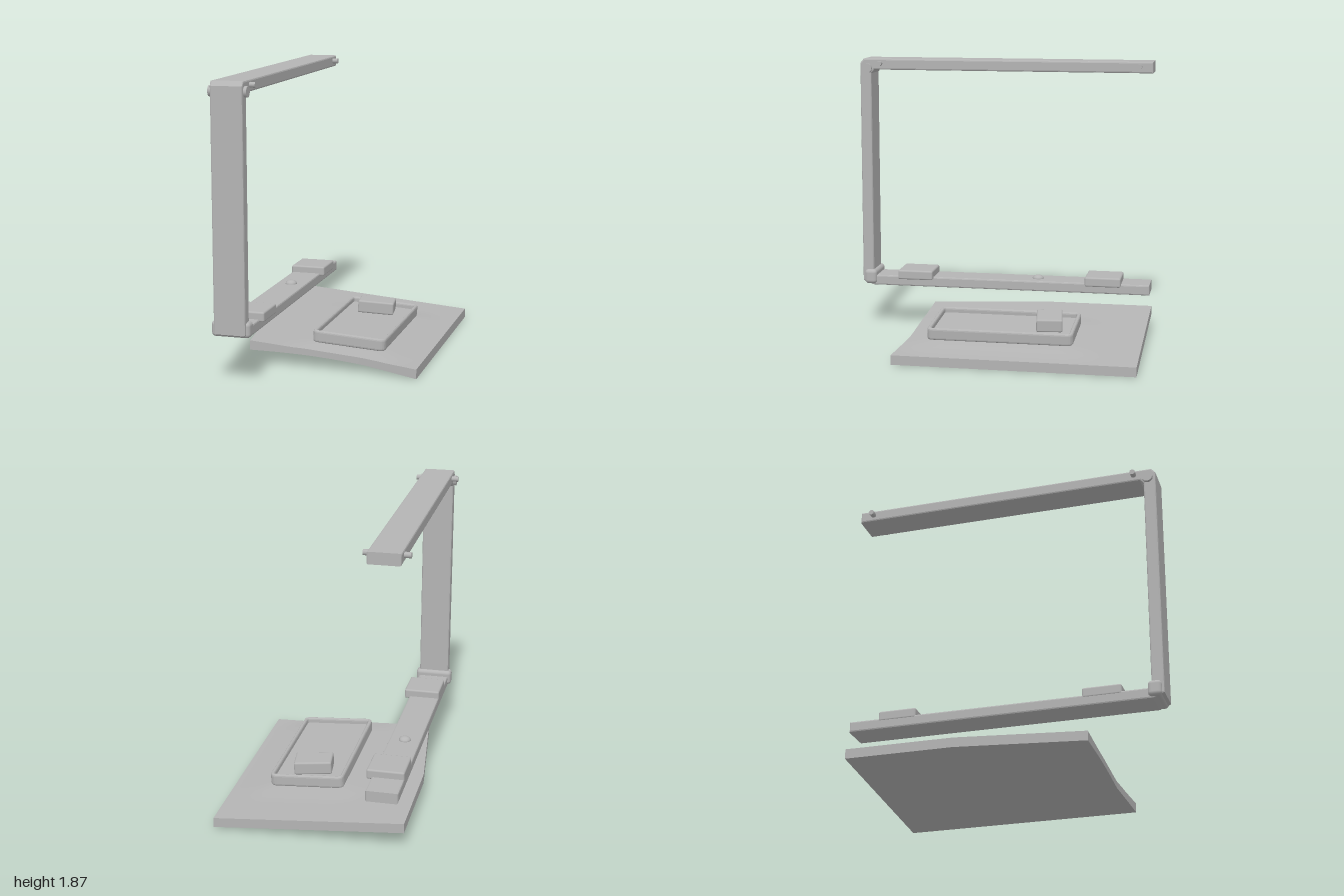
import * as THREE from 'three';
import { RoundedBoxGeometry } from 'three/addons/geometries/RoundedBoxGeometry.js';

const grey = new THREE.MeshStandardMaterial({ color: 0xb4b4b4 });
grey.name = 'plain grey';
const BAR_X = -0.463;

function add(parent, name, geometry, x = 0, y = 0, z = 0) {
  const mesh = new THREE.Mesh(geometry, grey);
  mesh.name = name;
  mesh.position.set(x, y, z);
  parent.add(mesh);
  return mesh;
}

// Rounded rectangle outline centred on the origin
function roundedRect(target, w, h, r) {
  const a = w / 2, b = h / 2;
  target.moveTo(-a + r, -b);
  target.lineTo(a - r, -b);
  target.quadraticCurveTo(a, -b, a, -b + r);
  target.lineTo(a, b - r);
  target.quadraticCurveTo(a, b, a - r, b);
  target.lineTo(-a + r, b);
  target.quadraticCurveTo(-a, b, -a, b - r);
  target.lineTo(-a, -b + r);
  target.quadraticCurveTo(-a, -b, -a + r, -b);
  return target;
}

// C-shaped strap: side profile (z, y) extruded across x
function strapGeometry() {
  const b = 0.01;
  const profile = [
    [-1, 0.29], [0.93, 0.29], [1, 0.32], [1, 1.84], [0.975, 1.87], [-1, 1.87],
    [-1, 1.795], [0.9, 1.795], [0.922, 1.77], [0.922, 0.38], [0.9, 0.36], [-1, 0.36],
  ].map(([z, y]) => new THREE.Vector2(z, y));
  const geometry = new THREE.ExtrudeGeometry(new THREE.Shape(profile), {
    depth: 0.205 - 2 * b, bevelEnabled: true, bevelThickness: b,
    bevelSize: b, bevelOffset: -b, bevelSegments: 2,
  });
  geometry.rotateY(-Math.PI / 2);
  geometry.translate(BAR_X + 0.1025 - b, 0, 0);
  return geometry;
}

// Sloping plate with an uneven front edge and a soft swelling under the tray
function plateGeometry() {
  const geometry = new THREE.BoxGeometry(1, 1, 1, 24, 1, 24);
  const p = geometry.attributes.position;
  for (let i = 0; i < p.count; i++) {
    const u = p.getX(i), v = p.getZ(i) + 0.5, top = p.getY(i) > 0;
    const front = 0.515 + 0.045 * Math.max(0, (u - 0.2) / 0.3);
    const z = -1 + v * (front + 1);
    const pinch = 0.1 * Math.max(0, (z + 0.3) / 0.8) * Math.max(0, -2 * u);
    const x = 1.21 * u + pinch;
    let y = 0.05 - (x / 0.605) * 0.05;
    if (top) {
      y += 0.062;
      const dx = Math.max(0, Math.abs(x - 0.115) - 0.22) / 0.2;
      const dz = Math.max(0, Math.abs(z + 0.09) - 0.44) / 0.2;
      y += 0.02 * Math.max(0, 1 - Math.hypot(dx, dz));
    } else {
      y += 0.025 * Math.sin(Math.PI * (u + 0.5)) * v;
    }
    p.setXYZ(i, x, y, z);
  }
  geometry.computeVertexNormals();
  return geometry;
}

export function createModel() {
  const model = new THREE.Group();
  model.name = 'strapAndTray';

  // Strap frame
  const frame = new THREE.Group();
  frame.name = 'frame';
  model.add(frame);
  add(frame, 'strap', strapGeometry());

  // Corner knuckles
  add(frame, 'lowerKnuckle', new RoundedBoxGeometry(0.25, 0.1, 0.085, 3, 0.025), BAR_X, 0.35, 0.943);
  const upper = new THREE.CylinderGeometry(0.034, 0.034, 0.245, 12).rotateZ(Math.PI / 2);
  add(frame, 'upperKnuckle', upper, BAR_X, 1.805, 0.95);

  // Small pins through the top bar
  for (const z of [0.86, -0.91]) {
    const pin = new THREE.CylinderGeometry(0.018, 0.018, 0.285, 10).rotateZ(Math.PI / 2);
    add(frame, 'pin', pin, BAR_X - 0.003, 1.838, z);
  }

  // Pads and stud on the bottom bar
  for (const z of [0.62, -0.685]) {
    add(frame, 'pad', new RoundedBoxGeometry(0.24, 0.065, 0.245, 2, 0.012), BAR_X + 0.015, 0.375, z);
  }
  const stud = add(frame, 'stud', new THREE.SphereGeometry(1, 12, 8), BAR_X, 0.36, -0.225);
  stud.scale.set(0.04, 0.025, 0.04);

  // Base plate
  add(model, 'basePlate', plateGeometry());

  // Shallow tray resting on the slope
  const tray = new THREE.Group();
  tray.name = 'tray';
  tray.position.set(0.115, 0.16, -0.093);
  tray.rotation.z = -0.065;
  model.add(tray);
  const b = 0.015;
  const outline = roundedRect(new THREE.Shape(), 0.485, 0.955, 0.045);
  outline.holes.push(roundedRect(new THREE.Path(), 0.435, 0.9, 0.02));
  const rim = new THREE.ExtrudeGeometry(outline, {
    depth: 0.08 - 2 * b, bevelEnabled: true, bevelThickness: b,
    bevelSize: 0.012, bevelOffset: -0.012, bevelSegments: 3, curveSegments: 5,
  });
  rim.rotateX(-Math.PI / 2);
  add(tray, 'trayRim', rim, 0, -0.04 + b, 0);
  add(tray, 'trayFloor', new THREE.BoxGeometry(0.455, 0.035, 0.92), 0, -0.012, 0);

  // Block set askew inside the tray
  const block = add(model, 'block', new RoundedBoxGeometry(0.245, 0.085, 0.17, 2, 0.012), 0.107, 0.207, -0.387);
  block.rotation.set(0, 0.13, -0.06);

  return model;
}
